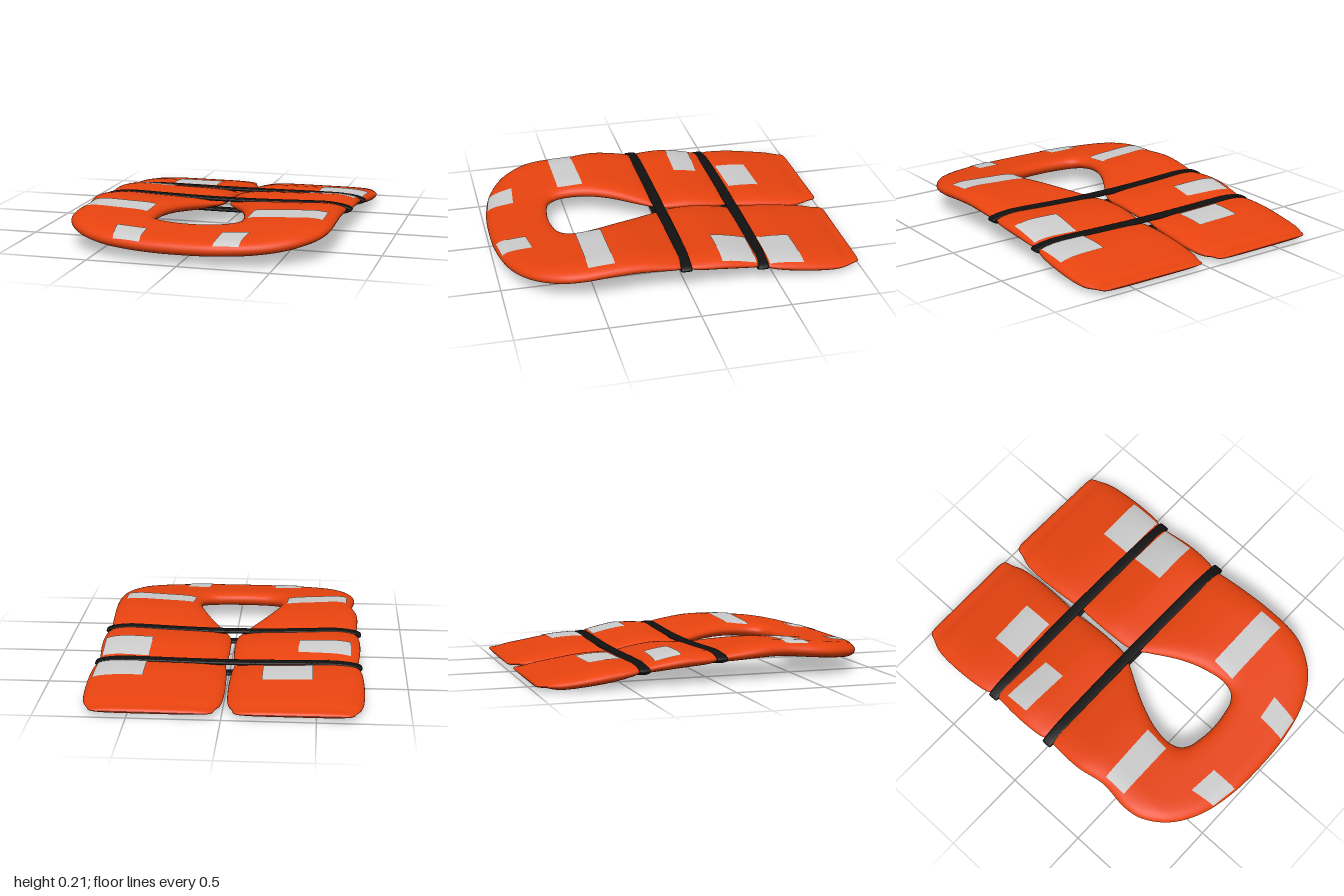
import * as THREE from 'three';

const mat = (color, side = THREE.FrontSide) => new THREE.MeshStandardMaterial({ color, side, roughness: 0.8 });

// Smooth grid surface from a rule fn(i, j) -> [x, y, z], optionally wrapped either way
function surface(nu, nv, fn, wrapU, wrapV) {
  const pos = [], idx = [];
  for (let i = 0; i < nu; i++) for (let j = 0; j < nv; j++) pos.push(...fn(i, j));
  for (let i = 0; i < (wrapU ? nu : nu - 1); i++) {
    for (let j = 0; j < (wrapV ? nv : nv - 1); j++) {
      const i2 = (i + 1) % nu, j2 = (j + 1) % nv;
      const a = i * nv + j, b = i2 * nv + j, c = i2 * nv + j2, d = i * nv + j2;
      idx.push(a, b, d, b, c, d);
    }
  }
  const g = new THREE.BufferGeometry();
  g.setAttribute('position', new THREE.Float32BufferAttribute(pos, 3));
  g.setIndex(idx);
  g.computeVertexNormals();
  return g;
}

// Height of the padding's middle layer along z: [z, y]
const spine = [[-1, 0.038], [-0.85, 0.041], [-0.6, 0.072], [-0.42, 0.096], [-0.2, 0.128],
  [0, 0.136], [0.3, 0.163], [0.6, 0.147], [0.9, 0.115], [1, 0.11]];

function midY(x, z) {
  let k = 0;
  while (k < spine.length - 2 && z > spine[k + 1][0]) k++;
  const [z0, y0] = spine[k], [z1, y1] = spine[k + 1];
  const slope = (n) => {
    const p = spine[Math.max(n - 1, 0)], q = spine[Math.min(n + 1, spine.length - 1)];
    return (q[1] - p[1]) / (q[0] - p[0]);
  };
  const d = z1 - z0, t = THREE.MathUtils.clamp((z - z0) / d, 0, 1), t2 = t * t, t3 = t2 * t;
  const y = (2 * t3 - 3 * t2 + 1) * y0 + (t3 - 2 * t2 + t) * d * slope(k)
    + (3 * t2 - 2 * t3) * y1 + (t3 - t2) * d * slope(k + 1);
  // the middle sags a little below the sides
  const sag = 0.018 * Math.max(0, 1 - (x / 0.6) ** 2);
  return y - sag * THREE.MathUtils.smoothstep(z, -0.8, 0);
}

// Stations along one half: inner x, inner z, outer x, outer z, half thickness
const stations = [
  [-0.1, -1, -0.66, -0.995, 0],
  [-0.068, -0.985, -0.695, -0.985, 0.013],
  [-0.055, -0.94, -0.717, -0.94, 0.019],
  [-0.032, -0.88, -0.742, -0.88, 0.034],
  [-0.02, -0.78, -0.755, -0.78, 0.041],
  [-0.02, -0.6, -0.755, -0.6, 0.046],
  [-0.027, -0.48, -0.742, -0.48, 0.036],
  [-0.035, -0.425, -0.722, -0.425, 0.027],
  [-0.028, -0.37, -0.728, -0.37, 0.036],
  [-0.022, -0.2, -0.74, -0.2, 0.046],
  [-0.03, -0.05, -0.732, -0.05, 0.038],
  [-0.05, 0.01, -0.715, 0.01, 0.029],
  [-0.085, 0.07, -0.722, 0.07, 0.038],
  [-0.19, 0.25, -0.728, 0.25, 0.045],
  [-0.25, 0.4, -0.7, 0.42, 0.045],
  [-0.265, 0.52, -0.717, 0.6, 0.045],
  [-0.242, 0.59, -0.695, 0.71, 0.046],
  [-0.195, 0.625, -0.6, 0.84, 0.046],
  [-0.13, 0.64, -0.44, 0.935, 0.045],
  [-0.07, 0.648, -0.23, 0.985, 0.045],
];

function bodyGeometry() {
  // mirror the half, with the neck opening slightly off centre and a fuller left side
  const mirrored = stations.map(([ix, iz, ox, oz, h]) => [
    -ix - 0.022 - 0.02 * THREE.MathUtils.smoothstep(iz, 0.1, 0.4), iz,
    -ox + 0.04 * Math.exp(-(((oz - 0.46) / 0.13) ** 2)), oz, h]).reverse();
  const rows = [...stations, [-0.015, 0.65, 0, 0.998, 0.045], ...mirrored];
  const inner = new THREE.CatmullRomCurve3(rows.map((r) => new THREE.Vector3(r[0], r[4], r[1])));
  const outer = new THREE.CatmullRomCurve3(rows.map((r) => new THREE.Vector3(r[2], r[4], r[3])));
  const nu = (rows.length - 1) * 5 + 1, nv = 48;
  return surface(nu, nv, (i, j) => {
    const t = i / (nu - 1), a = (j / nv) * Math.PI * 2;
    const p = inner.getPoint(t), q = outer.getPoint(t);
    const s = Math.cos(a), k = (1 + s) / 2;
    const x = p.x + (q.x - p.x) * k, z = p.z + (q.z - p.z) * k;
    const h = Math.max(0, p.y) * Math.sqrt(Math.max(0, 1 - Math.abs(s) ** 5));
    return [x, midY(x, z) + Math.sign(Math.sin(a)) * h, z];
  }, false, true);
}

// Flat band looped round both halves at depth z
function strapGeometry(z0) {
  const X = 0.738, H = 0.031, r = 0.01, w = 0.03, nu = 96, nv = 16;
  return surface(nu, nv, (i, j) => {
    const a = (i / nu) * Math.PI * 2, b = (j / nv) * Math.PI * 2;
    const s = Math.cos(a), e = Math.sign(Math.sin(a)) * Math.sqrt(Math.max(0, 1 - s ** 6));
    const n = new THREE.Vector2(s ** 7, e).normalize();
    const soft = (v) => Math.sign(v) * Math.sqrt(Math.abs(v));
    const x = X * s + n.x * r * soft(Math.sin(b));
    const z = z0 + 0.015 * s * s - w * soft(Math.cos(b));
    return [x, midY(x, z0) + H * e + n.y * r * soft(Math.sin(b)), z];
  }, true, true);
}

// Patch draped over the body; corners: back right, back left, front left, front right
function patchGeometry(body, c) {
  const ray = new THREE.Raycaster(), down = new THREE.Vector3(0, -1, 0);
  const nu = 9, nv = 13;
  return surface(nu, nv, (i, j) => {
    const u = i / (nu - 1), v = j / (nv - 1);
    const mix = (k) => (1 - u) * ((1 - v) * c[0][k] + v * c[1][k]) + u * ((1 - v) * c[3][k] + v * c[2][k]);
    const x = mix(0), z = mix(1);
    ray.set(new THREE.Vector3(x, 1, z), down);
    const hit = ray.intersectObject(body)[0];
    return [x, (hit ? hit.point.y : midY(x, z)) + 0.004, z];
  }, false, false);
}

const patches = [
  ['backPatchRight', [[-0.475, -0.66], [-0.2, -0.67], [-0.2, -0.485], [-0.475, -0.475]]],
  ['backPatchLeft', [[0.45, -0.65], [0.73, -0.655], [0.725, -0.46], [0.45, -0.46]]],
  ['middlePatchRight', [[-0.685, -0.35], [-0.39, -0.327], [-0.39, -0.19], [-0.685, -0.2]]],
  ['middlePatchLeft', [[0.45, -0.395], [0.715, -0.385], [0.718, -0.19], [0.445, -0.19]]],
  ['sidePatchRight', [[-0.665, 0.41], [-0.3, 0.395], [-0.31, 0.545], [-0.67, 0.55]]],
  ['sidePatchLeft', [[0.27, 0.4], [0.685, 0.4], [0.685, 0.545], [0.26, 0.545]]],
  ['frontPatchRight', [[-0.39, 0.81], [-0.215, 0.825], [-0.21, 0.98], [-0.365, 0.955]]],
  ['frontPatchLeft', [[0.2, 0.815], [0.345, 0.795], [0.325, 0.962], [0.19, 0.98]]],
];

export function createModel() {
  const group = new THREE.Group();
  group.name = 'lifeVest';
  const add = (name, geometry, material) => {
    const mesh = new THREE.Mesh(geometry, material);
    mesh.name = name;
    group.add(mesh);
    return mesh;
  };

  // Padded U-shaped body
  const body = add('paddedBody', bodyGeometry(), mat(0xe8430f));
  body.updateMatrixWorld();

  // Reflective patches
  const grey = mat(0xcccccc, THREE.DoubleSide);
  for (const [name, corners] of patches) add(name, patchGeometry(body, corners), grey);

  // Straps
  const black = mat(0x111111);
  add('frontStrap', strapGeometry(0), black);
  add('backStrap', strapGeometry(-0.435), black);

  // Rest on the floor
  const lift = -new THREE.Box3().setFromObject(group).min.y;
  group.children.forEach((m) => { m.position.y = lift; });
  return group;
}
